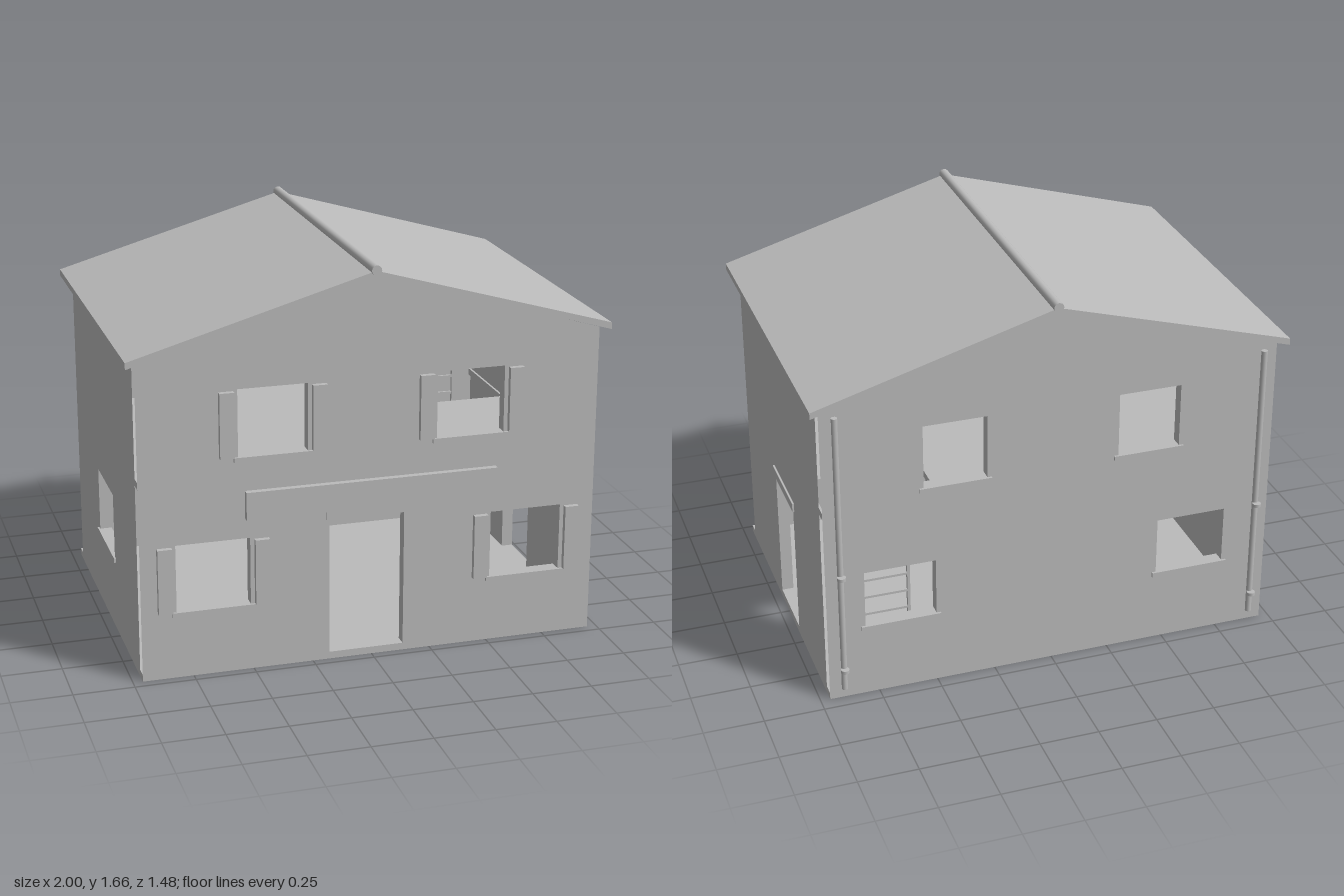
import * as THREE from 'three';
import { mergeGeometries } from 'three/addons/utils/BufferGeometryUtils.js';

const plaster = new THREE.MeshStandardMaterial({ color: 0xbbbbbb });
plaster.name = 'plain grey';

const FRONT = 0.71, BACK = -0.69, SIDE = 0.96, T = 0.05;

function add(parent, name, geometry, x = 0, y = 0, z = 0) {
  const mesh = new THREE.Mesh(geometry, plaster);
  mesh.name = name;
  mesh.position.set(x, y, z);
  parent.add(mesh);
  return mesh;
}

// Box given by its limits on each axis
function block(parent, name, x0, x1, y0, y1, z0, z1) {
  return add(parent, name, new THREE.BoxGeometry(x1 - x0, y1 - y0, z1 - z0),
    (x0 + x1) / 2, (y0 + y1) / 2, (z0 + z1) / 2);
}

function shapeWithHoles(points, holes) {
  const shape = new THREE.Shape(points.map(p => new THREE.Vector2(...p)));
  for (const [x0, x1, y0, y1] of holes) {
    shape.holes.push(new THREE.Path([[x0, y0], [x0, y1], [x1, y1], [x1, y0]].map(p => new THREE.Vector2(...p))));
  }
  return shape;
}

// Hollow wall: outer skin facing +z, inner skin behind it, and reveals lining each opening
function wall(parent, name, points, holes) {
  const outer = new THREE.ShapeGeometry(shapeWithHoles(points, holes));
  const inner = outer.clone().translate(0, 0, -T);
  const index = inner.index.array;
  for (let i = 0; i < index.length; i += 3) [index[i], index[i + 1]] = [index[i + 1], index[i]];
  inner.computeVertexNormals();
  const parts = [outer, inner];
  for (const [x0, x1, y0, y1] of holes) {
    const w = x1 - x0, h = y1 - y0, cx = (x0 + x1) / 2, cy = (y0 + y1) / 2;
    parts.push(
      new THREE.PlaneGeometry(T, h).rotateY(Math.PI / 2).translate(x0, cy, -T / 2),
      new THREE.PlaneGeometry(T, h).rotateY(-Math.PI / 2).translate(x1, cy, -T / 2),
      new THREE.PlaneGeometry(w, T).rotateX(-Math.PI / 2).translate(cx, y0, -T / 2),
      new THREE.PlaneGeometry(w, T).rotateX(Math.PI / 2).translate(cx, y1, -T / 2));
  }
  return add(parent, name, mergeGeometries(parts));
}

const rect = (x0, x1, y0, y1) => [[x0, y0], [x1, y0], [x1, y1], [x0, y1]];

export function createModel() {
  const house = new THREE.Group();
  house.name = 'house';

  // Ground slab and upper floor with a ladder hatch
  block(house, 'groundSlab', -SIDE, SIDE, 0, 0.03, BACK, FRONT);
  const floorShape = shapeWithHoles(rect(-0.91, 0.91, -0.645, 0.665), [[0.42, 0.9, -0.64, -0.2]]);
  add(house, 'upperFloor',
    new THREE.ExtrudeGeometry(floorShape, { depth: 0.03, bevelEnabled: false }).rotateX(Math.PI / 2), 0, 0.75, 0);

  // Front and back gable walls
  const gable = [[-SIDE, 0.03], [SIDE, 0.03], [SIDE, 1.325], [0, 1.61], [-SIDE, 1.325]];
  const frontWindows = [
    [-0.555, -0.27, 0.915, 1.195], [0.27, 0.555, 0.915, 1.195],
    [-0.815, -0.51, 0.285, 0.57], [0.51, 0.815, 0.285, 0.57]];
  const frontDoor = [-0.18, 0.135, 0.03, 0.61];
  wall(house, 'frontWall', gable, [...frontWindows, frontDoor]).position.z = FRONT;

  // Back openings are laid out as seen from behind
  const backWindows = [
    [-0.545, -0.28, 0.92, 1.195], [0.28, 0.545, 0.92, 1.195],
    [-0.8, -0.5, 0.325, 0.575], [0.465, 0.765, 0.325, 0.575]];
  const backWall = wall(house, 'backWall', gable, backWindows);
  backWall.position.z = BACK;
  backWall.rotation.y = Math.PI;

  // Side walls: a door on the left, a window on the right
  const leftWall = wall(house, 'leftWall', rect(-0.66, 0.64, 0.03, 1.33), [[-0.13, 0.175, 0.03, 0.605]]);
  leftWall.position.x = SIDE;
  leftWall.rotation.y = Math.PI / 2;
  const rightWall = wall(house, 'rightWall', rect(-0.64, 0.66, 0.03, 1.33), [[-0.155, 0.175, 0.33, 0.605]]);
  rightWall.position.x = -SIDE;
  rightWall.rotation.y = -Math.PI / 2;

  // Sills and front shutters
  for (const [x0, x1, y0, y1] of frontWindows) {
    block(house, 'frontSill', x0 - 0.018, x1 + 0.018, y0 - 0.02, y0, FRONT - 0.01, FRONT + 0.01);
    block(house, 'shutter', x0 - 0.077, x0 - 0.017, y0 + 0.003, y1 - 0.006, FRONT, FRONT + 0.022);
    block(house, 'shutter', x1 + 0.017, x1 + 0.077, y0 + 0.003, y1 - 0.006, FRONT, FRONT + 0.022);
  }
  for (const [x0, x1, y0] of backWindows) {
    block(house, 'backSill', -x1 - 0.018, -x0 + 0.018, y0 - 0.02, y0, BACK - 0.01, BACK + 0.01);
  }
  block(house, 'sideSill', -SIDE - 0.008, -SIDE + 0.01, 0.31, 0.33, -0.175, 0.195);

  // Lintels over the doors, and the blank sign board
  block(house, 'frontLintel', -0.195, 0.15, 0.612, 0.65, FRONT - 0.01, FRONT + 0.006);
  block(house, 'sideLintel', SIDE - 0.01, SIDE + 0.008, 0.612, 0.65, -0.195, 0.15);
  block(house, 'signBoard', -0.53, 0.525, 0.655, 0.772, 0.713, 0.739);

  // Roof and ridge cap
  const roofShape = shapeWithHoles(
    [[-1, 1.32], [0, 1.61], [1, 1.32], [1, 1.348], [0, 1.636], [-1, 1.348]], []);
  add(house, 'roof', new THREE.ExtrudeGeometry(roofShape, { depth: 1.465, bevelEnabled: false }), 0, 0, -0.725);
  add(house, 'ridgeCap', new THREE.CylinderGeometry(0.021, 0.021, 1.475, 12).rotateX(Math.PI / 2), 0, 1.638, 0.008);

  // Drainpipes with brackets at the back corners
  for (const side of [-1, 1]) {
    add(house, 'drainpipe', new THREE.CylinderGeometry(0.013, 0.013, 1.25, 12), side * 0.9, 0.675, -0.704);
    for (const y of [0.147, 0.587]) {
      add(house, 'pipeBracket', new THREE.CylinderGeometry(0.018, 0.018, 0.014, 12), side * 0.9, y, -0.721);
    }
  }

  // Ladder up to the hatch
  const ladder = new THREE.Group();
  ladder.name = 'ladder';
  house.add(ladder);
  for (const x of [0.595, 0.81]) block(ladder, 'ladderRail', x - 0.006, x + 0.006, 0.03, 0.78, -0.62, -0.605);
  for (let i = 0; i < 9; i++) {
    const y = 0.09 + i * 0.08;
    block(ladder, 'ladderRung', 0.595, 0.81, y - 0.005, y + 0.005, -0.618, -0.607);
  }
  return house;
}
